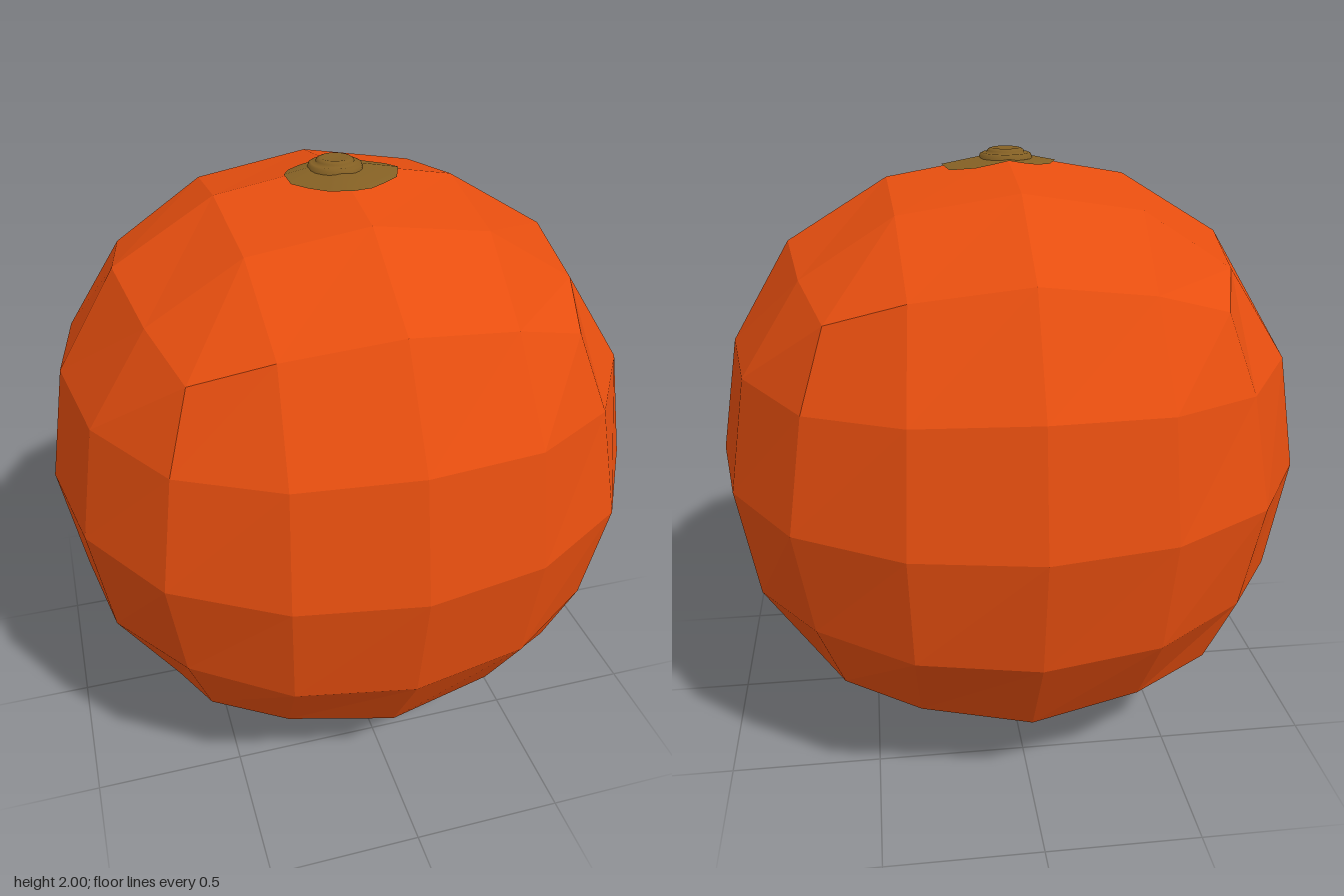
import * as THREE from 'three';

const CENTRE = 0.993, RADIUS = 0.988, SLOPE = 0.174;

// Rounded-cube rule: grid coordinates (sorted, absolute) -> new size of each coordinate
const RULE = {
  '200': { 2: RADIUS, 0: 0 },
  '210': { 2: 0.92, 1: 0.39, 0: 0 },
  '211': { 2: 0.86, 1: 0.375 },
  '220': { 2: 0.72, 0: 0 },
  '221': { 2: 0.67, 1: 0.355 },
  '222': { 2: 0.595 },
};

// Faceted ball made from a cube with 4 x 4 faces per side
function fruitGeometry() {
  const g = new THREE.BoxGeometry(4, 4, 4, 4, 4, 4);
  const p = g.attributes.position;
  for (let i = 0; i < p.count; i++) {
    const v = [p.getX(i), p.getY(i), p.getZ(i)].map(Math.round);
    const a = v.map(Math.abs);
    const rule = RULE[[...a].sort((m, n) => n - m).join('')];
    p.setXYZ(i, ...v.map((c, k) => Math.sign(c) * rule[a[k]]));
  }
  g.translate(0, CENTRE, 0);
  return g;
}

// Irregular leaf patch draped over the top facets
function calyxGeometry() {
  const radii = [0.21, 0.205, 0.155, 0.115, 0.1, 0.11, 0.13, 0.15,
    0.165, 0.172, 0.165, 0.175, 0.195, 0.18, 0.175, 0.195];
  const g = new THREE.CircleGeometry(1, 16).rotateX(-Math.PI / 2);
  const p = g.attributes.position;
  for (let i = 0; i < p.count; i++) {
    const r = i === 0 ? 0 : radii[(i - 1) % 16];
    const x = p.getX(i) * r, z = p.getZ(i) * r;
    const lift = i === 0 ? 0.009 : 0.006;
    p.setXYZ(i, x, CENTRE + RADIUS + lift - SLOPE * (Math.abs(x) + Math.abs(z)), z);
  }
  g.computeVertexNormals();
  return g;
}

function lathe(points) {
  return new THREE.LatheGeometry(points.map(([r, y]) => new THREE.Vector2(r, y)), 24);
}

export function createModel() {
  const orange = new THREE.MeshStandardMaterial({ color: 0xe64e0f, flatShading: true });
  orange.name = 'orange peel';
  const olive = new THREE.MeshStandardMaterial({ color: 0x846024, side: THREE.DoubleSide });
  olive.name = 'olive stem';

  const group = new THREE.Group();
  group.name = 'fruit';
  const add = (name, geometry, material) => {
    const mesh = new THREE.Mesh(geometry, material);
    mesh.name = name;
    group.add(mesh);
  };

  add('peel', fruitGeometry(), orange);
  add('calyx', calyxGeometry(), olive);

  // Stepped stem scar with a slightly dished top
  add('stem', lathe([[0.088, 1.968], [0.084, 1.981], [0.076, 1.985], [0.062, 1.984],
    [0.06, 1.992], [0.054, 1.997], [0.046, 2], [0.036, 1.998], [0, 1.997]]), olive);

  // Blossom end under the fruit
  add('blossomEnd', lathe([[0, 0], [0.025, 0.001], [0.05, 0.007], [0.085, 0.016]]), olive);

  return group;
}
